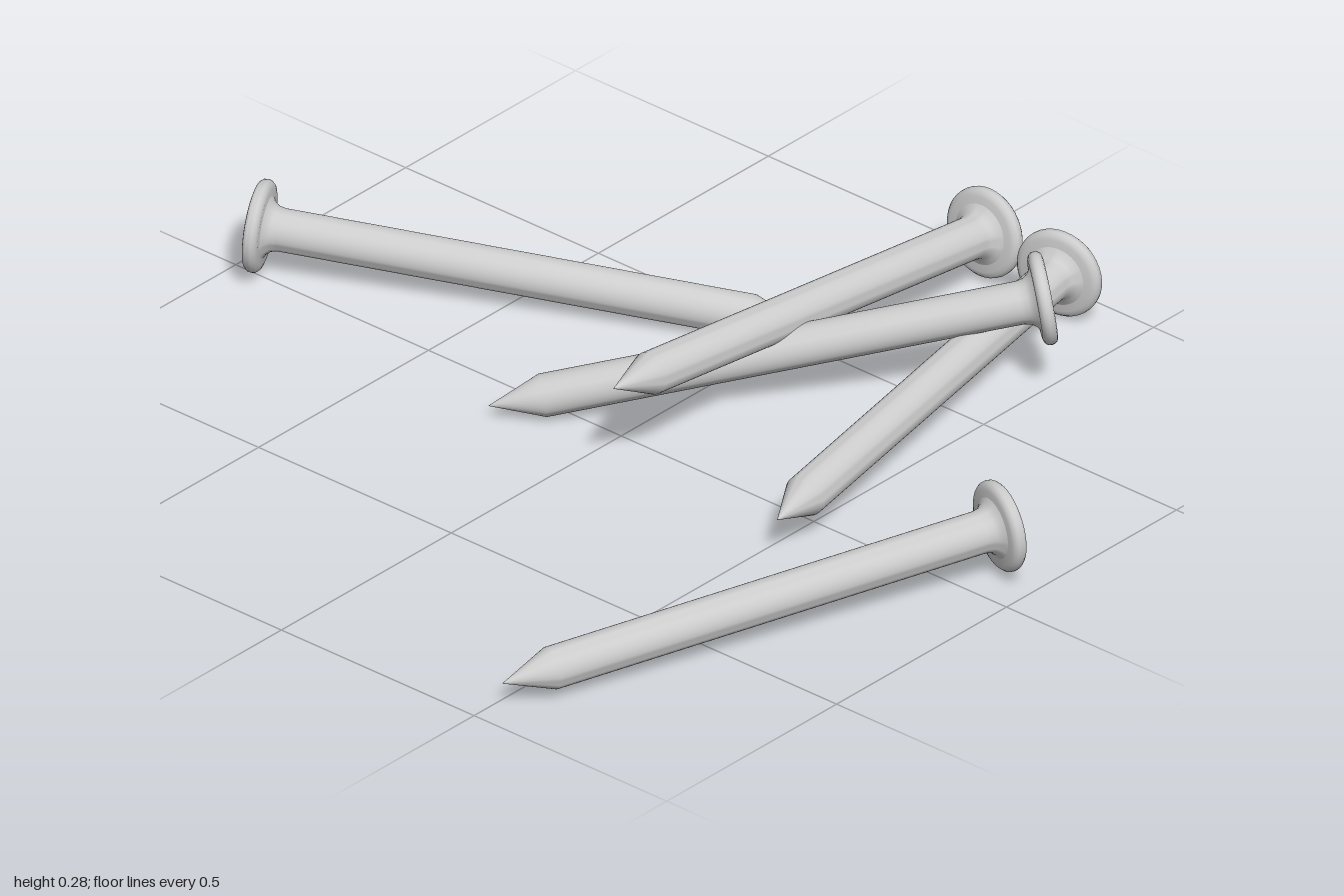
import * as THREE from 'three';
import { toCreasedNormals } from 'three/addons/utils/BufferGeometryUtils.js';

const LENGTH = 1.115, SHAFT_R = 0.043, HEAD_R = 0.093, TIP = 0.108;

// Turned part from [radius, distance from tip] points, listed bottom to top
function turned(points) {
  const geometry = new THREE.LatheGeometry(points.map(([r, y]) => new THREE.Vector2(r, y)), 40);
  return toCreasedNormals(geometry, 0.6);
}

export function createModel() {
  const model = new THREE.Group();
  model.name = 'looseNails';
  const material = new THREE.MeshStandardMaterial({ color: 0xcccccc });

  // Pointed shaft with a small flare where it meets the head
  const shaft = turned([
    [0, 0], [SHAFT_R, TIP], [SHAFT_R, LENGTH - 0.06],
    [0.046, LENGTH - 0.045], [0.054, LENGTH - 0.035], [0.066, LENGTH - 0.028],
  ]);
  // Flat disc head with a rounded rim
  const head = turned([
    [0, LENGTH - 0.03], [0.078, LENGTH - 0.03], [0.087, LENGTH - 0.027],
    [0.092, LENGTH - 0.021], [HEAD_R, LENGTH - 0.015], [0.092, LENGTH - 0.008],
    [0.087, LENGTH - 0.002], [0.08, LENGTH], [0, LENGTH],
  ]);

  // Each nail: tip position, then centre of the head's outer face
  const nails = [
    [[0.03, 0.035, -0.51], [-0.962, 0.1, -0.008]],
    [[0.125, 0.225, 0.165], [0.125, 0.098, -0.945]],
    [[0.55, 0.093, 0.165], [0.328, 0.095, -0.933]],
    [[-0.235, 0.03, 0.125], [0.493, 0.193, -0.708]],
    [[0.52, 0.052, 0.94], [0.908, 0.105, -0.105]],
  ];
  const up = new THREE.Vector3(0, 1, 0);
  nails.forEach(([tip, top], i) => {
    const nail = new THREE.Group();
    nail.name = `nail${i + 1}`;
    nail.position.set(...tip);
    const axis = new THREE.Vector3(...top).sub(nail.position).normalize();
    nail.quaternion.setFromUnitVectors(up, axis);
    for (const [name, geometry] of [['shaft', shaft], ['head', head]]) {
      const mesh = new THREE.Mesh(geometry, material);
      mesh.name = name;
      nail.add(mesh);
    }
    model.add(nail);
  });
  return model;
}
